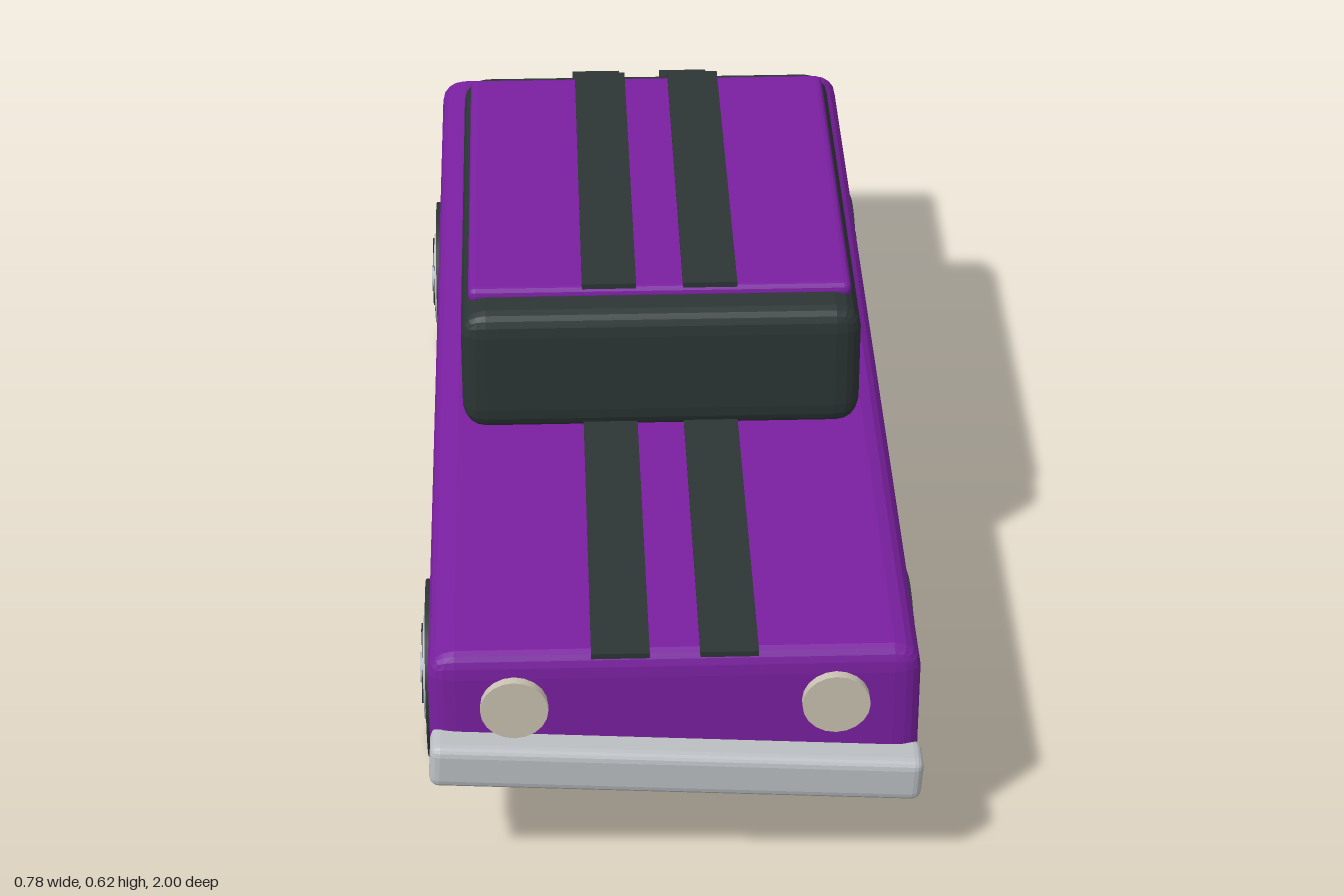
import * as THREE from 'three';
import { RoundedBoxGeometry } from 'three/addons/geometries/RoundedBoxGeometry.js';

const paint = (name, color) => {
  const m = new THREE.MeshStandardMaterial({ color });
  m.name = name;
  return m;
};

export function createModel() {
  const car = new THREE.Group();
  car.name = 'car';
  const purple = paint('purple paint', 0x7a20a0);
  const dark = paint('dark trim', 0x2c3535);
  const chrome = paint('chrome', 0xbcc0c4);
  const cream = paint('lamp glass', 0xcac2b2);
  const red = paint('red lens', 0xb41c32);

  const add = (name, geometry, material, x, y, z, parent = car) => {
    const mesh = new THREE.Mesh(geometry, material);
    mesh.name = name;
    mesh.position.set(x, y, z);
    parent.add(mesh);
    return mesh;
  };

  // Box with faceted bevels; squash shrinks the bevel along z
  const bevelBox = (w, h, d, r, squash = 1) => {
    const g = new RoundedBoxGeometry(w, h, d / squash, 2, r);
    g.scale(1, 1, squash);
    g.computeVertexNormals();
    return g;
  };

  // Shell
  add('body', bevelBox(0.736, 0.238, 1.845, 0.04, 0.5), purple, -0.002, 0.267, 0.028);
  add('cabin', bevelBox(0.64, 0.215, 0.832, 0.04, 0.6), dark, -0.001, 0.488, -0.09);
  add('roof', bevelBox(0.616, 0.028, 0.724, 0.012), purple, -0.001, 0.595, -0.1);

  // Racing stripes on body and roof
  for (const x of [-0.083, 0.079]) {
    add('bodyStripe', new THREE.BoxGeometry(0.087, 0.009, 1.85), dark, x, 0.3885, 0.03);
    add('roofStripe', new THREE.BoxGeometry(0.087, 0.009, 0.724), dark, x, 0.6125, -0.1);
  }

  // Bumpers, the front one hanging crooked
  const front = add('frontBumper', bevelBox(0.742, 0.073, 0.068, 0.015), chrome, 0, 0.195, 0.964);
  front.rotation.z = -0.061;
  add('rearBumper', bevelBox(0.742, 0.073, 0.07, 0.015), chrome, -0.001, 0.2, -0.9);

  // Lamps
  for (const x of [-0.242, 0.239]) {
    const lamp = add('headlight', new THREE.CylinderGeometry(0.051, 0.051, 0.04, 20), cream, x, 0.299, 0.945);
    lamp.rotation.x = Math.PI / 2;
    add('tailLight', bevelBox(0.14, 0.052, 0.04, 0.008), red, x, 0.314, -0.889);
  }

  // Exhaust
  const pipe = add('exhaustPipe', new THREE.CylinderGeometry(0.024, 0.024, 0.12, 14), chrome, 0.24, 0.144, -0.94);
  pipe.rotation.x = Math.PI / 2;

  // Wheels: tyre, hub disc, dark cross and centre cap on both faces
  const disc = (r, w, n) => new THREE.CylinderGeometry(r, r, w, n).rotateZ(Math.PI / 2);
  for (const x of [-0.329, 0.327]) {
    for (const z of [0.635, -0.57]) {
      const wheel = new THREE.Group();
      wheel.name = 'wheel';
      wheel.position.set(x, 0.14, z);
      car.add(wheel);
      add('tyre', disc(0.14, 0.104, 28), dark, 0, 0, 0, wheel);
      add('hub', disc(0.082, 0.114, 24), chrome, 0, 0, 0, wheel);
      add('crossUpright', new THREE.BoxGeometry(0.119, 0.158, 0.021), dark, 0, 0, 0, wheel);
      add('crossLevel', new THREE.BoxGeometry(0.119, 0.021, 0.158), dark, 0, 0, 0, wheel);
      add('centreCap', disc(0.024, 0.126, 14), chrome, 0, 0, 0, wheel);
    }
  }
  return car;
}
